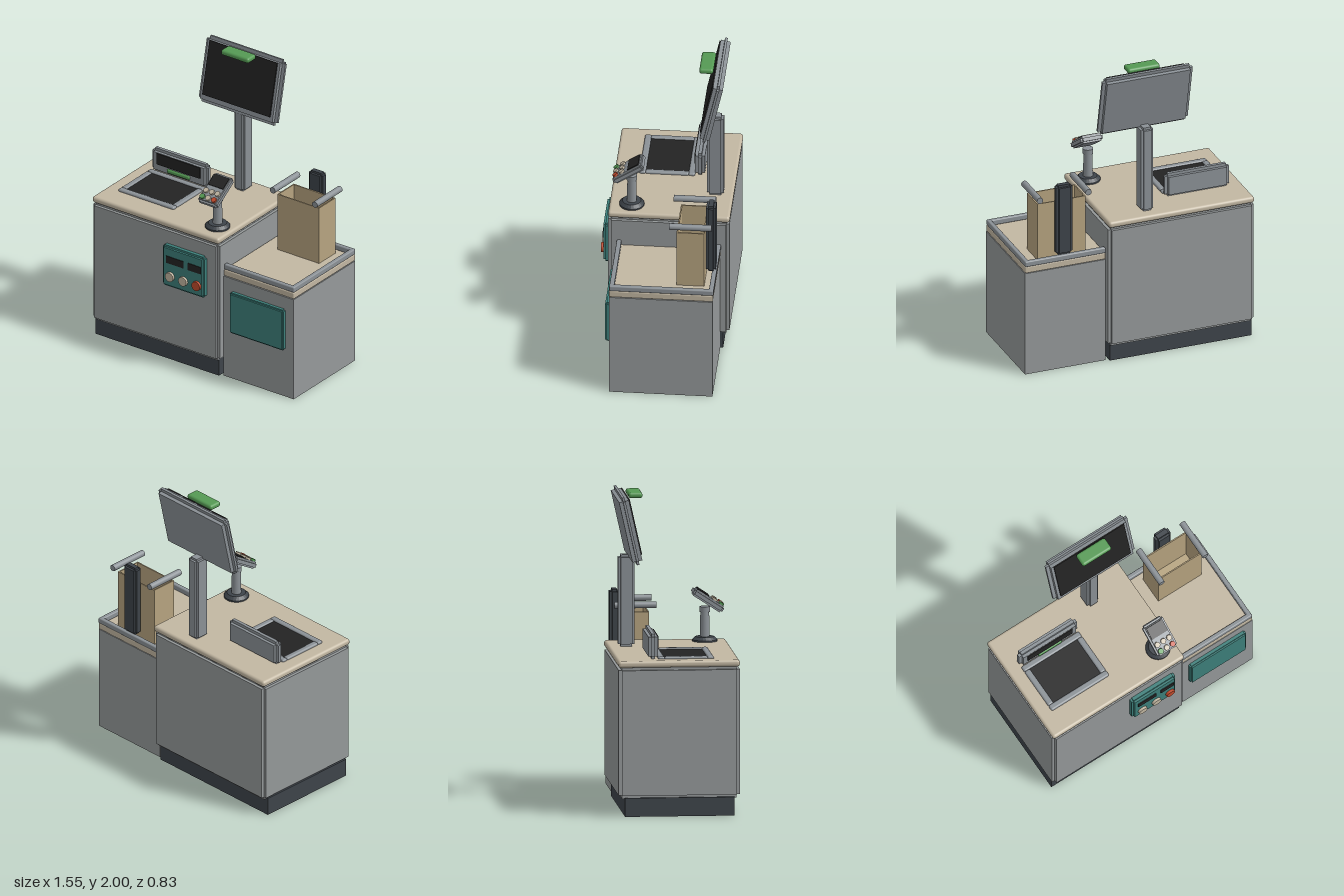
import * as THREE from 'three';
import { RoundedBoxGeometry } from 'three/addons/geometries/RoundedBoxGeometry.js';

export function createModel() {
  const root = new THREE.Group();
  root.name = 'selfCheckout';

  const mat = (name, color) => {
    const m = new THREE.MeshStandardMaterial({ color });
    m.name = name;
    return m;
  };
  const body = mat('cabinetGrey', 0x95999a);
  const metal = mat('metalGrey', 0x8b9196);
  const dark = mat('darkSlate', 0x3e444a);
  const black = mat('blackGlass', 0x232323);
  const beige = mat('worktopBeige', 0xc2b7a2);
  const paper = mat('bagPaper', 0xb7a480);
  const teal = mat('tealPanel', 0x3d807b);
  const red = mat('redButton', 0xc04a2c);
  const green = mat('greenLight', 0x559a54);

  const add = (parent, name, geo, m, x = 0, y = 0, z = 0) => {
    const mesh = new THREE.Mesh(geo, m);
    mesh.name = name;
    mesh.position.set(x, y, z);
    parent.add(mesh);
    return mesh;
  };
  const group = (parent, name, x = 0, y = 0, z = 0) => {
    const g = new THREE.Group();
    g.name = name;
    g.position.set(x, y, z);
    parent.add(g);
    return g;
  };
  // Boxes given by their limits: [x0, x1], [y0, y1], [z0, z1]
  const mid = (r) => (r[0] + r[1]) / 2;
  const len = (r) => r[1] - r[0];
  const box = (p, name, m, x, y, z) =>
    add(p, name, new THREE.BoxGeometry(len(x), len(y), len(z)), m, mid(x), mid(y), mid(z));
  const rounded = (p, name, m, x, y, z, r) =>
    add(p, name, new RoundedBoxGeometry(len(x), len(y), len(z), 3, r), m, mid(x), mid(y), mid(z));
  // Box with notched edges: three slabs, each full size along one axis
  const notched = (p, name, m, x, y, z, b) => {
    const g = group(p, name, mid(x), mid(y), mid(z));
    const size = [len(x), len(y), len(z)];
    for (let axis = 0; axis < 3; axis++) {
      const s = size.map((v, i) => (i === axis ? v : v - 2 * b));
      add(g, name + 'Slab', new THREE.BoxGeometry(...s), m);
    }
    return g;
  };

  // Main cabinet
  const main = group(root, 'mainCabinet');
  box(main, 'plinth', dark, [-0.775, 0.2], [0, 0.12], [-0.375, 0.325]);
  notched(main, 'cabinetBody', body, [-0.78, 0.22], [0.115, 0.96], [-0.415, 0.36], 0.02);
  rounded(main, 'worktop', beige, [-0.78, 0.22], [0.957, 1.0], [-0.418, 0.36], 0.018);

  // Control panel with two displays and three buttons
  const panel = group(root, 'controlPanel');
  notched(panel, 'panelPlate', teal, [-0.2, 0.13], [0.56, 0.85], [0.345, 0.398], 0.014);
  for (const x of [[-0.162, -0.025], [0.01, 0.11]])
    box(panel, 'panelDisplay', black, x, [0.733, 0.782], [0.396, 0.403]);
  [[-0.13, beige], [-0.025, beige], [0.08, red]].forEach(([x, m]) => {
    const b = add(panel, 'panelButton', new THREE.CylinderGeometry(0.032, 0.032, 0.03, 24), m, x, 0.642, 0.4);
    b.rotation.x = Math.PI / 2;
  });

  // Scanner bed
  const scanner = group(root, 'scanner');
  box(scanner, 'scannerGlass', black, [-0.655, -0.285], [0.999, 1.006], [-0.12, 0.165]);
  for (const z of [[-0.155, -0.113], [0.16, 0.202]])
    rounded(scanner, 'bedCrossBar', metal, [-0.69, -0.25], [0.99, 1.015], z, 0.012);
  for (const x of [[-0.69, -0.65], [-0.29, -0.25]])
    rounded(scanner, 'bedSideBar', metal, x, [0.99, 1.015], [-0.115, 0.163], 0.012);

  // Upright scanner head behind the bed
  notched(scanner, 'scannerHead', metal, [-0.69, -0.25], [0.995, 1.16], [-0.217, -0.155], 0.02);
  box(scanner, 'headWindow', black, [-0.64, -0.3], [1.06, 1.138], [-0.157, -0.148]);
  rounded(scanner, 'headLight', green, [-0.56, -0.38], [1.022, 1.05], [-0.165, -0.143], 0.01);

  // Monitor on its pole
  const monitor = group(root, 'monitor');
  notched(monitor, 'monitorPole', metal, [-0.112, -0.028], [1.0, 1.59], [-0.357, -0.25], 0.016);
  const screen = group(monitor, 'screenHousing', -0.07, 1.776, -0.3);
  screen.rotation.x = -0.22;
  notched(screen, 'screenCase', metal, [-0.31, 0.31], [-0.222, 0.222], [-0.032, 0.032], 0.024);
  box(screen, 'screenGlass', black, [-0.267, 0.267], [-0.165, 0.2], [0.031, 0.04]);
  rounded(monitor, 'statusLight', green, [-0.18, 0.04], [1.963, 2.0], [-0.297, -0.207], 0.016);

  // Card reader stand
  const reader = group(root, 'cardReader', 0.11, 1.0, 0.217);
  const profile = [[0, 0], [0.08, 0], [0.08, 0.01], [0.06, 0.03], [0, 0.03]].map((p) => new THREE.Vector2(...p));
  const foot = add(reader, 'readerFoot', new THREE.LatheGeometry(profile, 24), dark);
  foot.geometry = foot.geometry.toNonIndexed();
  foot.geometry.computeVertexNormals();
  add(reader, 'readerColumn', new THREE.CylinderGeometry(0.028, 0.032, 0.18, 24), metal, 0, 0.11, 0);
  add(reader, 'readerCollar', new THREE.CylinderGeometry(0.034, 0.034, 0.035, 24), metal, 0, 0.205, 0);

  // Tilted reader head with screen and keys
  const head = group(reader, 'readerHead', 0, 0.265, 0.018);
  head.rotation.x = 0.58;
  notched(head, 'readerCase', metal, [-0.075, 0.075], [-0.024, 0.024], [-0.112, 0.112], 0.012);
  box(head, 'readerScreen', black, [-0.059, 0.059], [0.022, 0.03], [-0.095, -0.012]);
  const keys = [[beige, beige, beige], [green, beige, red]];
  keys.forEach((row, j) => row.forEach((m, i) =>
    add(head, 'readerKey', new THREE.CylinderGeometry(0.018, 0.018, 0.018, 16), m, (i - 1) * 0.045, 0.028, 0.033 + j * 0.048)));

  // Bagging cabinet with tray rim and door
  const bagging = group(root, 'baggingCabinet');
  box(bagging, 'baggingBody', body, [0.222, 0.775], [0, 0.715], [-0.357, 0.305]);
  rounded(bagging, 'baggingTop', beige, [0.222, 0.775], [0.717, 0.763], [-0.36, 0.305], 0.008);
  for (const z of [[-0.363, -0.333], [0.273, 0.303]])
    rounded(bagging, 'trayRimBar', metal, [0.222, 0.775], [0.762, 0.8], z, 0.008);
  rounded(bagging, 'trayRimSide', metal, [0.745, 0.775], [0.762, 0.8], [-0.355, 0.295], 0.008);
  notched(bagging, 'baggingDoor', teal, [0.285, 0.71], [0.337, 0.627], [0.295, 0.335], 0.01);

  // Open paper bag
  const bag = group(root, 'paperBag');
  box(bag, 'bagFloor', paper, [0.335, 0.665], [0.763, 0.775], [-0.295, -0.118]);
  for (const z of [[-0.295, -0.287], [-0.126, -0.118]])
    box(bag, 'bagWall', paper, [0.335, 0.665], [0.763, 1.16], z);
  for (const x of [[0.335, 0.343], [0.657, 0.665]])
    box(bag, 'bagSide', paper, x, [0.763, 1.16], [-0.288, -0.125]);

  // Bag holder: back post and two arms
  const holder = group(root, 'bagHolder');
  notched(holder, 'holderPost', dark, [0.445, 0.555], [0.8, 1.29], [-0.358, -0.296], 0.015);
  for (const x of [0.332, 0.665]) {
    const arm = add(holder, 'holderArm', new THREE.CylinderGeometry(0.021, 0.021, 0.27, 20), metal, x, 1.205, -0.207);
    arm.rotation.x = Math.PI / 2;
  }

  return root;
}
